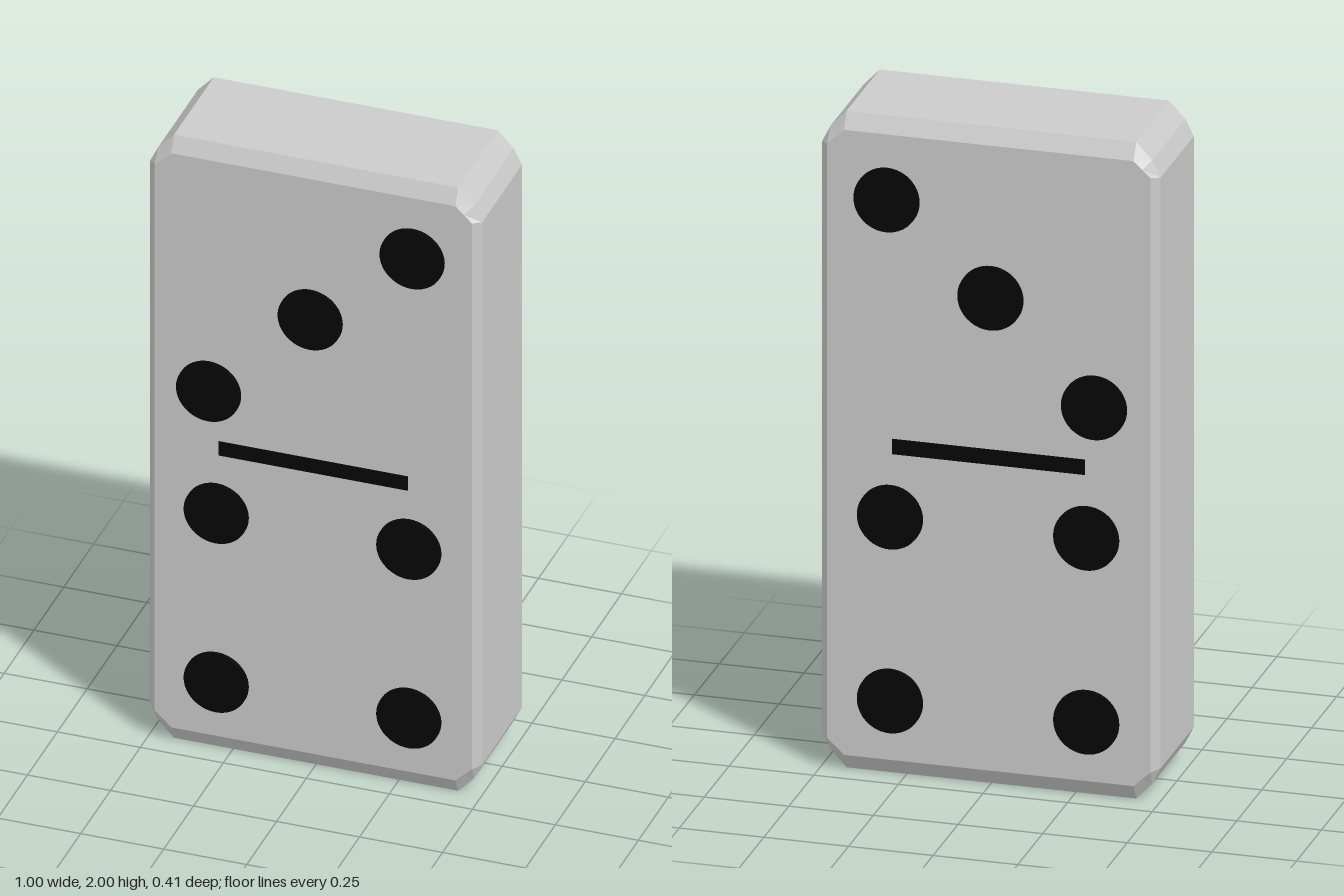
import * as THREE from 'three';

const grey = new THREE.MeshStandardMaterial({ color: 0xcccccc, flatShading: true });
const black = new THREE.MeshStandardMaterial({ color: 0x060606 });

// Outline around (0, 1): one corner's points mirrored into all four, counter-clockwise
function outline(corner) {
  const flip = [...corner].reverse();
  return [
    ...corner,
    ...flip.map(([x, y]) => [-x, y]),
    ...corner.map(([x, y]) => [-x, -y]),
    ...flip.map(([x, y]) => [x, -y]),
  ];
}

// Tile: four stacked outlines, the first and last smaller to give bevelled faces
function tileGeometry() {
  const face = outline([[0.478, 0.905], [0.453, 0.928], [0.428, 0.952]]);
  const side = outline([[0.5, 0.9], [0.475, 0.95], [0.428, 1]]);
  const rings = [[face, -0.192], [side, -0.165], [side, 0.168], [face, 0.192]];
  const n = face.length;
  const positions = [];
  const index = [];
  for (const [points, z] of rings) {
    for (const [x, y] of points) positions.push(x, y + 1, z);
  }
  for (let r = 0; r < rings.length - 1; r++) {
    for (let i = 0; i < n; i++) {
      const a = r * n + i, b = r * n + (i + 1) % n;
      index.push(a, b, b + n, a, b + n, a + n);
    }
  }
  const last = (rings.length - 1) * n;
  for (let i = 1; i < n - 1; i++) {
    index.push(0, i + 1, i);
    index.push(last, last + i, last + i + 1);
  }
  const geometry = new THREE.BufferGeometry();
  geometry.setAttribute('position', new THREE.Float32BufferAttribute(positions, 3));
  geometry.setIndex(index);
  const flat = geometry.toNonIndexed();
  flat.computeVertexNormals();
  return flat;
}

export function createModel() {
  const model = new THREE.Group();
  model.name = 'domino';

  const tile = new THREE.Mesh(tileGeometry(), grey);
  tile.name = 'tile';
  model.add(tile);

  // Pips run through the tile and stand slightly proud of both faces
  const pips = new THREE.Group();
  pips.name = 'pips';
  const pipGeometry = new THREE.CylinderGeometry(0.096, 0.096, 0.41, 48).rotateX(Math.PI / 2);
  const spots = [
    [0.3, 1.755], [-0.007, 1.49], [-0.313, 1.19],
    [-0.29, 0.79], [0.29, 0.79], [-0.29, 0.23], [0.29, 0.23],
  ];
  for (const [x, y] of spots) {
    const pip = new THREE.Mesh(pipGeometry, black);
    pip.name = 'pip';
    pip.position.set(x, y, 0);
    pips.add(pip);
  }
  model.add(pips);

  // Dividing bar, almost flush with both faces
  const bar = new THREE.Mesh(new THREE.BoxGeometry(0.57, 0.046, 0.39), black);
  bar.name = 'dividingBar';
  bar.position.y = 1.004;
  model.add(bar);

  return model;
}
